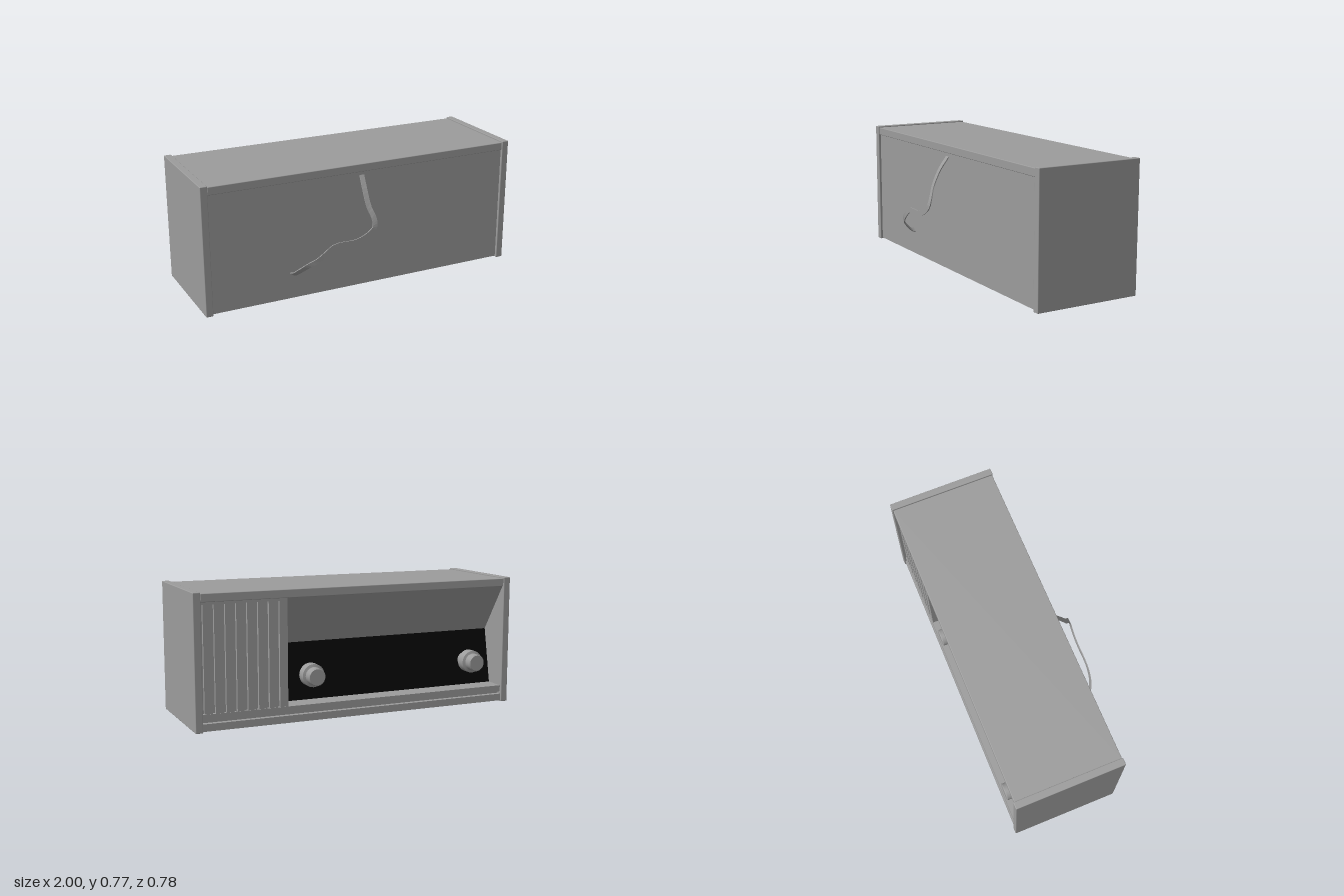
import * as THREE from 'three';
import { RoundedBoxGeometry } from 'three/addons/geometries/RoundedBoxGeometry.js';

const grey = new THREE.MeshStandardMaterial({ color: 0x9c9c9c });
const black = new THREE.MeshStandardMaterial({ color: 0x050505 });

export function createModel() {
  const model = new THREE.Group();

  const add = (name, geometry, material = grey) => {
    const mesh = new THREE.Mesh(geometry, material);
    mesh.name = name;
    model.add(mesh);
    return mesh;
  };
  // box given by its limits on each axis, with optionally eased edges
  const box = (name, x0, x1, y0, y1, z0, z1, radius = 0) => {
    const size = [x1 - x0, y1 - y0, z1 - z0];
    const geometry = radius ? new RoundedBoxGeometry(...size, 2, radius) : new THREE.BoxGeometry(...size);
    return add(name, geometry.translate((x0 + x1) / 2, (y0 + y1) / 2, (z0 + z1) / 2));
  };
  // [z, y] profile extruded along x
  const prism = (name, profile, x0, x1, material) => {
    const shape = new THREE.Shape(profile.map(([z, y]) => new THREE.Vector2(z, y)));
    const geometry = new THREE.ExtrudeGeometry(shape, { depth: x1 - x0, bevelEnabled: false });
    return add(name, geometry.rotateY(-Math.PI / 2).translate(x1, 0, 0), material);
  };

  // cabinet
  const inner = 0.957, divide = 0.452;
  box('leftSidePanel', inner, 1, 0, 0.775, -0.388, 0.265, 0.004);
  box('rightSidePanel', -1, -inner, 0, 0.775, -0.388, 0.265, 0.004);
  box('topBoard', -inner, inner, 0.72, 0.768, -0.382, 0.26, 0.004);
  box('bottomBoard', -inner, inner, 0.006, 0.048, -0.38, 0.25);
  box('rearPanel', -inner, inner, 0.048, 0.72, 0.235, 0.25);

  // frame around the opening, with a shadow groove under the lower rail
  box('lowerGroove', -inner, inner, 0.048, 0.062, -0.35, 0.235);
  box('lowerRail', -inner, inner, 0.062, 0.1, -0.373, 0.235);
  box('upperRail', divide, inner, 0.705, 0.72, -0.373, -0.34);

  // speaker grille with vertical slats
  box('grilleBacking', divide, inner, 0.1, 0.72, -0.352, 0.235);
  const slats = 8, pitch = (inner - divide) / slats;
  for (let i = 0; i < slats; i++) {
    const x = divide + i * pitch;
    box('grilleSlat', x, x + pitch - 0.015, 0.1, 0.705, -0.37, -0.352);
  }

  // sloping hood above a tilted dial
  prism('dialHood', [[-0.372, 0.72], [-0.178, 0.425], [-0.24, 0.1], [0.235, 0.1], [0.235, 0.72]],
    -inner, divide);
  prism('dialPanel', [[-0.183, 0.433], [-0.248, 0.1], [-0.235, 0.1], [-0.171, 0.425]],
    -inner, divide, black);

  // stepped control knobs, turned about z
  const knobProfile = [[0, 0], [0.045, 0], [0.045, 0.045], [0.068, 0.045], [0.068, 0.1],
    [0.052, 0.105], [0.052, 0.15], [0.047, 0.155], [0, 0.155]];
  // doubled points keep the steps crisp
  const points = knobProfile.flatMap(([r, y]) => [new THREE.Vector2(r, y), new THREE.Vector2(r, y)]);
  for (const x of [0.275, -0.785]) {
    const knob = add('knob', new THREE.LatheGeometry(points, 32).rotateX(-Math.PI / 2));
    knob.position.set(x, 0.253, -0.22);
  }

  // flat cable hanging off the rear, a thin strip swept along a curve
  const path = new THREE.CatmullRomCurve3([
    [-0.012, 0.7, 0.245], [-0.018, 0.62, 0.3], [-0.014, 0.53, 0.345], [0.006, 0.465, 0.372],
    [0.004, 0.415, 0.385], [-0.045, 0.373, 0.386], [-0.12, 0.346, 0.386], [-0.25, 0.342, 0.386],
    [-0.315, 0.3, 0.384], [-0.36, 0.265, 0.374], [-0.405, 0.235, 0.35], [-0.44, 0.195, 0.31],
    [-0.46, 0.165, 0.272], [-0.466, 0.157, 0.245],
  ].map(p => new THREE.Vector3(...p)));
  const steps = 44, positions = [], index = [];
  for (let i = 0; i <= steps; i++) {
    const p = path.getPoint(i / steps), t = path.getTangent(i / steps);
    const across = new THREE.Vector3(-t.y, t.x, 0).normalize();
    const out = new THREE.Vector3().crossVectors(t, across);
    for (const [u, v] of [[-1, -1], [1, -1], [1, 1], [-1, 1]]) {
      const q = p.clone().addScaledVector(across, u * 0.015).addScaledVector(out, v * 0.003);
      positions.push(q.x, q.y, q.z);
    }
    for (let k = 0; k < 4 && i < steps; k++) {
      const a = 4 * i + k, b = 4 * i + (k + 1) % 4;
      index.push(a, b, b + 4, a, b + 4, a + 4);
    }
  }
  const strip = new THREE.BufferGeometry();
  strip.setAttribute('position', new THREE.Float32BufferAttribute(positions, 3));
  strip.setIndex(index);
  const cable = strip.toNonIndexed();
  cable.computeVertexNormals();
  add('cable', cable);

  return model;
}
